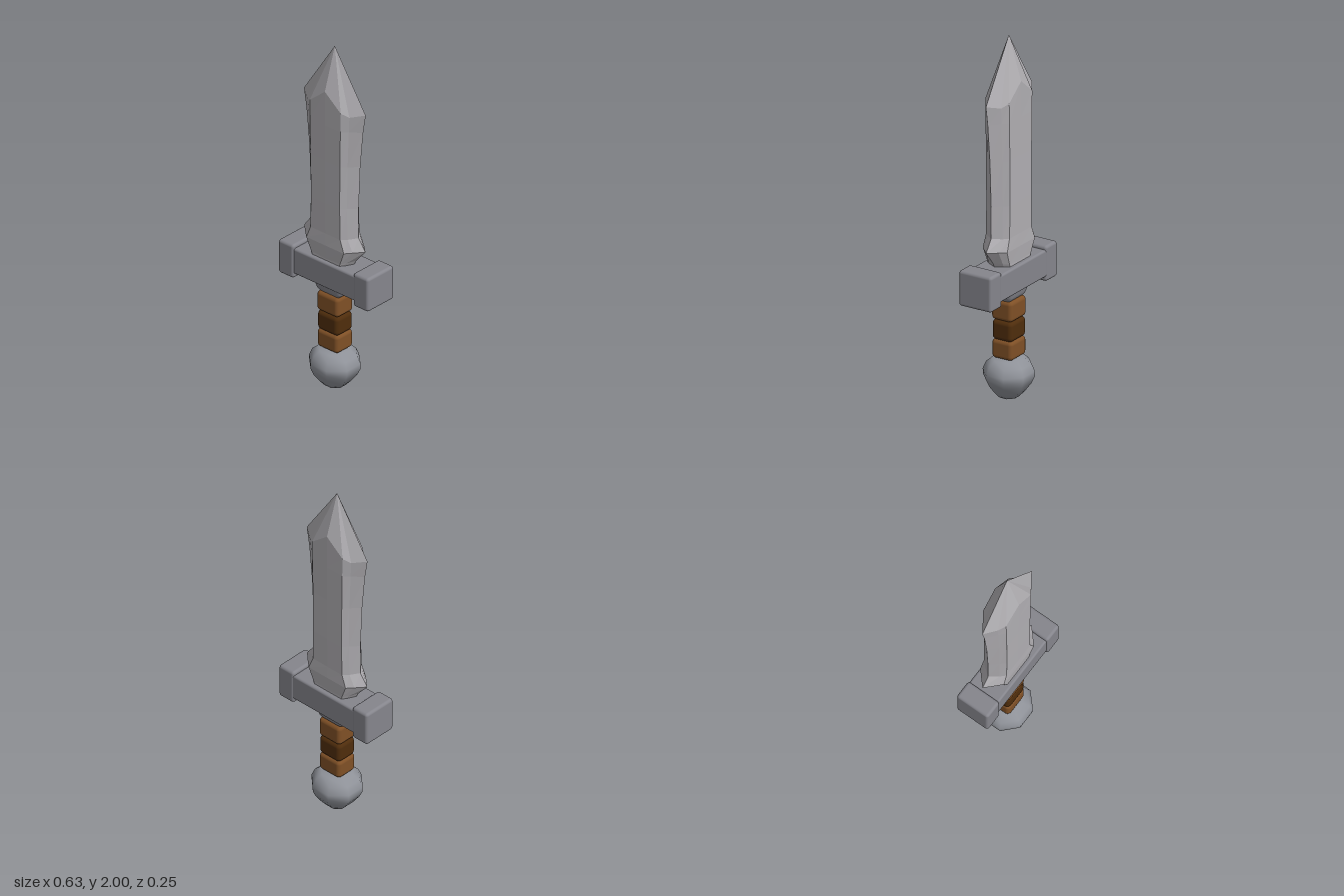
import * as THREE from 'three';
import { RoundedBoxGeometry } from 'three/addons/geometries/RoundedBoxGeometry.js';

const CX = -0.008; // the blade and grip sit slightly off centre

export function createModel() {
  const model = new THREE.Group();
  model.name = 'shortSword';
  const mat = (name, color, extra = {}) => {
    const m = new THREE.MeshStandardMaterial({ color, ...extra });
    m.name = name;
    return m;
  };
  const bladeSteel = mat('bladeSteel', 0xb0aeb2, { flatShading: true });
  const guardSteel = mat('guardSteel', 0x85858c);
  const pommelSteel = mat('pommelSteel', 0x90939a);
  const leather = mat('leather', 0x7f5026);
  const darkLeather = mat('darkLeather', 0x4f2d0c);

  const add = (name, geometry, material, x, y, z = 0) => {
    const mesh = new THREE.Mesh(geometry, material);
    mesh.name = name;
    mesh.position.set(x, y, z);
    model.add(mesh);
    return mesh;
  };
  const block = (name, w, h, d, r, material, x, y, z) =>
    add(name, new RoundedBoxGeometry(w, h, d, 3, r), material, x, y, z);

  add('blade', bladeGeometry(), bladeSteel, CX, 0);

  // Crossguard with a heavier block at each end
  block('guardBar', 0.46, 0.15, 0.188, 0.012, guardSteel, 0, 0.685, -0.002);
  for (const s of [-1, 1]) {
    block(s > 0 ? 'guardEndLeft' : 'guardEndRight', 0.106, 0.196, 0.2, 0.016, guardSteel, s * 0.26, 0.682, 0);
  }

  // Collar under the guard, narrowing towards the grip
  const collar = new RoundedBoxGeometry(0.21, 0.09, 0.15, 4, 0.03);
  const p = collar.attributes.position;
  for (let i = 0; i < p.count; i++) {
    const k = 0.86 + 0.14 * (p.getY(i) / 0.045);
    p.setX(i, p.getX(i) * k);
    p.setZ(i, p.getZ(i) * k);
  }
  collar.computeVertexNormals();
  add('collar', collar, guardSteel, CX, 0.59);

  // Grip wrapped in three leather bands
  block('gripTop', 0.15, 0.114, 0.126, 0.022, leather, CX, 0.493);
  block('gripMiddle', 0.146, 0.112, 0.124, 0.024, darkLeather, CX, 0.38);
  block('gripBottom', 0.146, 0.106, 0.126, 0.022, leather, CX, 0.275);

  // Eight-sided pommel
  const profile = [
    [0, 0], [0.055, 0.003], [0.085, 0.035], [0.118, 0.08], [0.134, 0.115],
    [0.135, 0.145], [0.118, 0.185], [0.085, 0.213], [0, 0.224],
  ].map(([r, y]) => new THREE.Vector2(r, y));
  const pommel = add('pommel', new THREE.LatheGeometry(profile, 8, Math.PI / 8), pommelSteel, CX, 0);
  pommel.scale.x = 1.06;
  return model;
}

// Bevelled blade: each row gives the edge, shoulder, flat and middle of one
// quarter of a cross-section, mirrored to a ring of twelve points.
function bladeGeometry() {
  const rows = [
    // [x, y, z] of edge, shoulder, flat, middle
    [[0.125, 0.74, 0], [0.105, 0.74, 0.04], [0.085, 0.74, 0.07], [0, 0.74, 0.07]],
    [[0.15, 0.785, 0], [0.125, 0.78, 0.045], [0.1, 0.775, 0.07], [0, 0.77, 0.07]],
    [[0.213, 0.86, 0], [0.165, 0.855, 0.045], [0.13, 0.85, 0.075], [0, 0.85, 0.075]],
    [[0.165, 0.925, 0], [0.13, 0.92, 0.045], [0.103, 0.92, 0.072], [0, 0.92, 0.073]],
    [[0.166, 1.1, 0], [0.125, 1.1, 0.045], [0.1, 1.1, 0.073], [0, 1.1, 0.074]],
    [[0.177, 1.35, 0], [0.13, 1.35, 0.045], [0.102, 1.35, 0.073], [0, 1.35, 0.074]],
    [[0.197, 1.56, 0], [0.138, 1.56, 0.045], [0.106, 1.56, 0.074], [0, 1.56, 0.075]],
    [[0.215, 1.67, 0], [0.145, 1.65, 0.048], [0.108, 1.67, 0.073], [0, 1.76, 0.076]],
  ];
  const ring = ([e, s, f, m]) => {
    const flip = ([x, y, z], sx, sz) => [x * sx, y, z * sz];
    return [e, s, f, m, flip(f, -1, 1), flip(s, -1, 1), flip(e, -1, 1),
      flip(s, -1, -1), flip(f, -1, -1), flip(m, 1, -1), flip(f, 1, -1), flip(s, 1, -1)];
  };
  const points = rows.flatMap(ring);
  const tip = points.push([0, 2, 0]) - 1;
  const base = points.push([0, 0.74, 0]) - 1;
  const index = [];
  const last = (rows.length - 1) * 12;
  for (let j = 0; j < 12; j++) {
    const k = (j + 1) % 12;
    for (let r = 0; r < last; r += 12) {
      index.push(r + j, r + 12 + j, r + k, r + k, r + 12 + j, r + 12 + k);
    }
    index.push(last + j, tip, last + k, base, j, k);
  }
  const g = new THREE.BufferGeometry();
  g.setAttribute('position', new THREE.Float32BufferAttribute(points.flat(), 3));
  g.setIndex(index);
  g.computeVertexNormals();
  return g;
}
